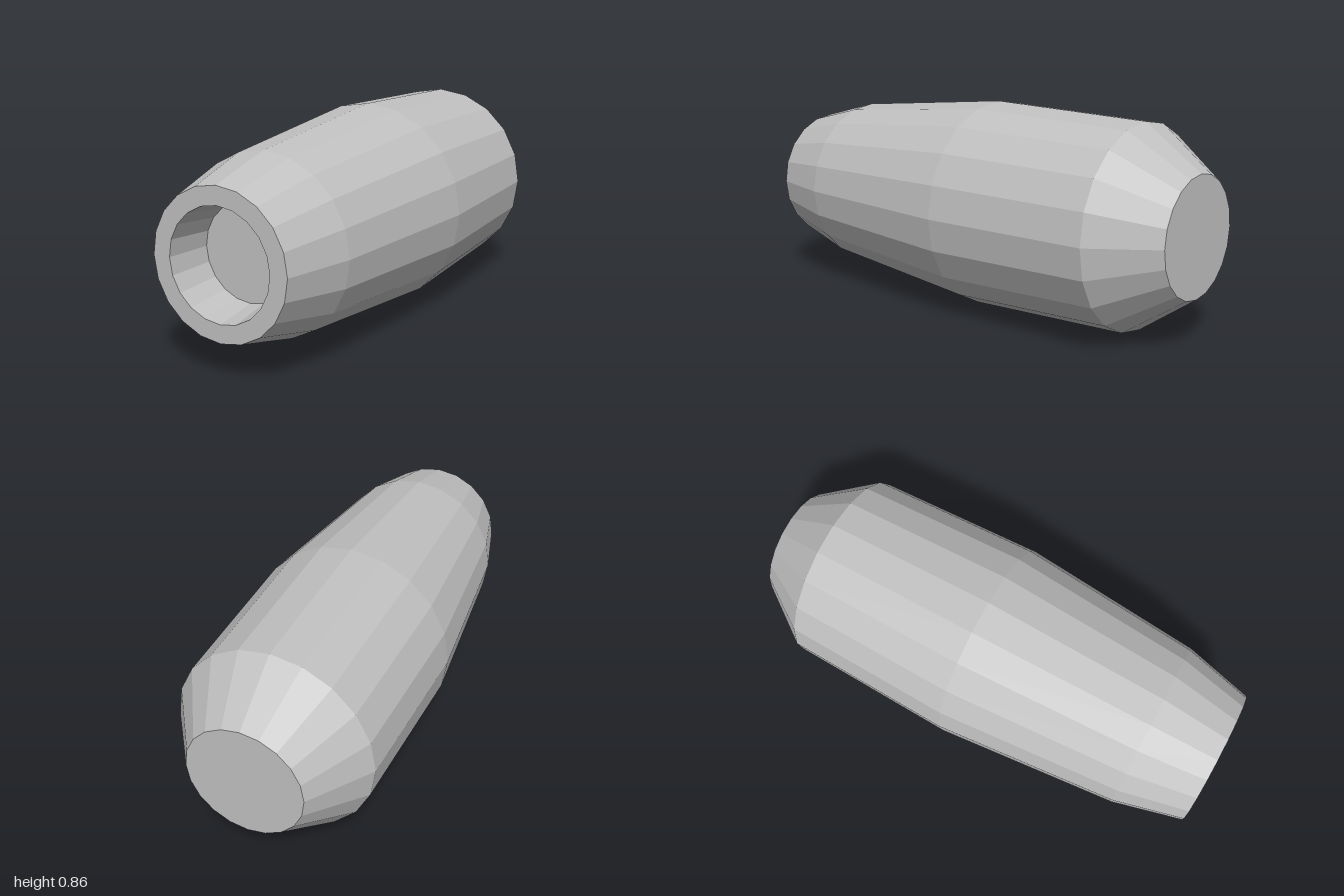
import * as THREE from 'three';

const SIDES = 20;
const RADIUS = 0.428;

// Faceted ring surface turned around the z axis from [radius, z] pairs
function turned(name, profile, material) {
  const points = profile.map(([r, z]) => new THREE.Vector2(r, z));
  const geometry = new THREE.LatheGeometry(points, SIDES).rotateX(Math.PI / 2).toNonIndexed();
  geometry.computeVertexNormals();
  const mesh = new THREE.Mesh(geometry, material);
  mesh.name = name;
  return mesh;
}

// Flat disc facing front or back
function disc(name, radius, z, facesBack, material) {
  const geometry = new THREE.CircleGeometry(radius, SIDES);
  if (facesBack) geometry.rotateY(Math.PI);
  const mesh = new THREE.Mesh(geometry, material);
  mesh.position.z = z;
  mesh.name = name;
  return mesh;
}

export function createModel() {
  const grey = new THREE.MeshStandardMaterial({ color: 0xc0c0c0 });
  grey.name = 'grey';

  const model = new THREE.Group();
  model.name = 'barrelHandle';
  model.add(
    // Bulging outer body, back to front
    turned('body', [[0.236, -1], [0.405, -0.76], [RADIUS, -0.05], [0.357, 0.715], [0.285, 1]], grey),
    // Flat front rim around the opening
    turned('rim', [[0.285, 1], [0.214, 1]], grey),
    // Slightly tapered socket in the front
    turned('socketWall', [[0.214, 1], [0.19, 0.82]], grey),
    disc('socketFloor', 0.19, 0.82, false, grey),
    disc('backCap', 0.236, -1, true, grey)
  );
  model.position.y = RADIUS;
  return model;
}
